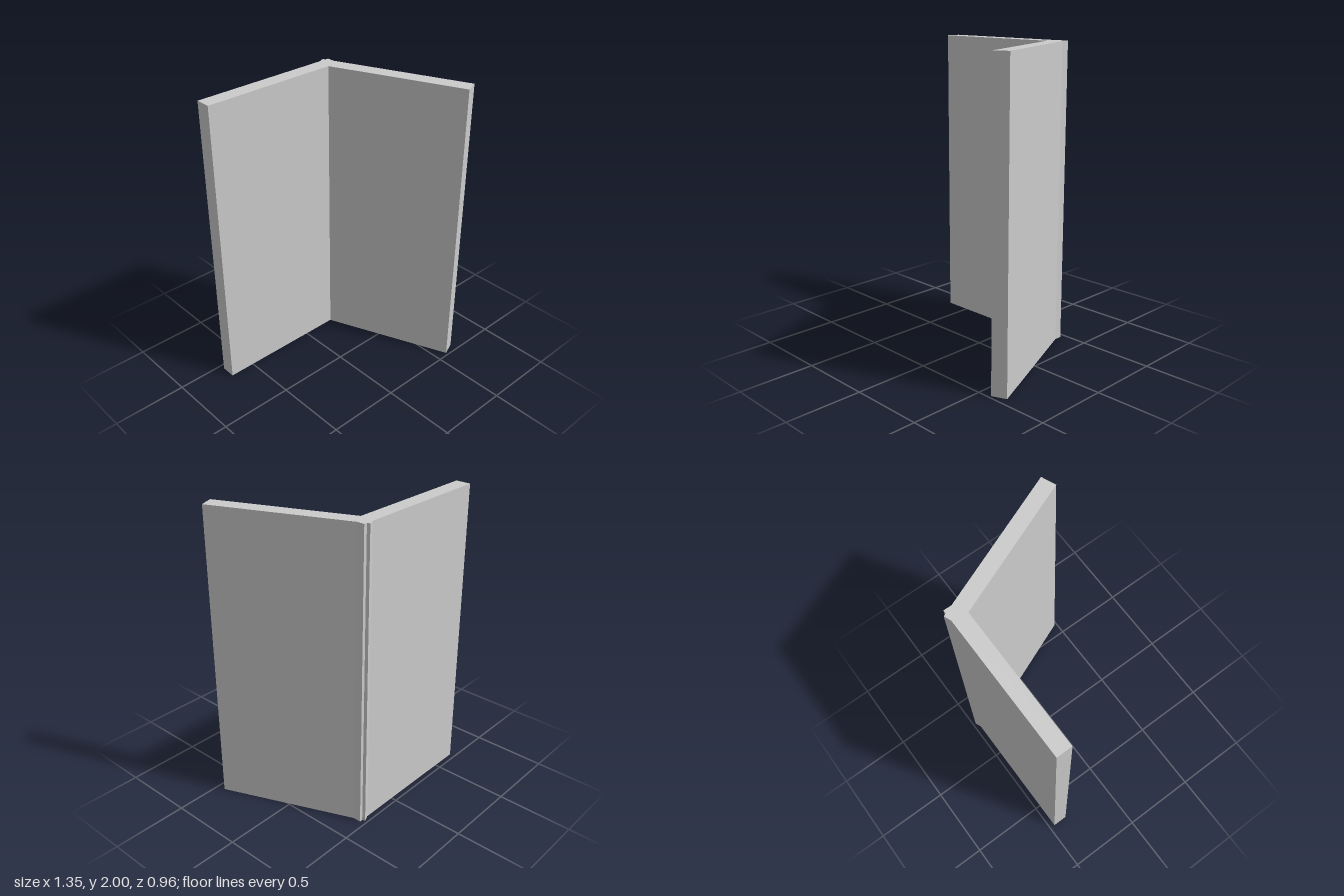
import * as THREE from 'three';

export function createModel() {
  const group = new THREE.Group();
  const material = new THREE.MeshStandardMaterial({ color: 0xcccccc, flatShading: true });
  const panelGeometry = new THREE.BoxGeometry(1, 2, 0.1);

  // Upright panel, turned about its vertical axis
  function addPanel(name, x, z, degrees) {
    const panel = new THREE.Mesh(panelGeometry, material);
    panel.name = name;
    panel.position.set(x, 1, z);
    panel.rotation.y = THREE.MathUtils.degToRad(degrees);
    group.add(panel);
  }

  // Two equal panels overlapping at the back corner
  addPanel('backPanel', -0.177, -0.413, 0);
  addPanel('sidePanel', 0.439, 0, -67.5);

  return group;
}
